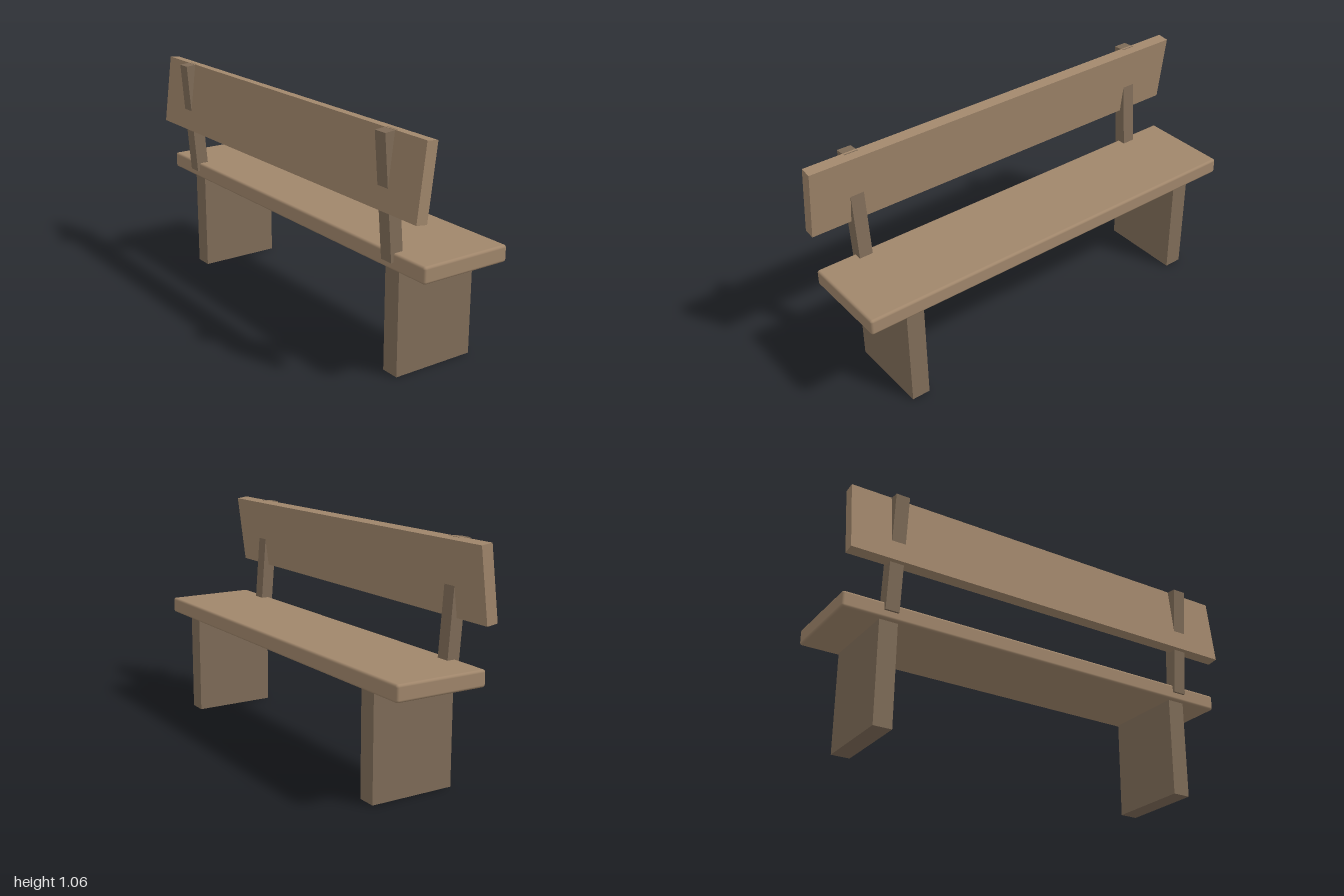
import * as THREE from 'three';
import { RoundedBoxGeometry } from 'three/addons/geometries/RoundedBoxGeometry.js';

export function createModel() {
  const bench = new THREE.Group();
  bench.name = 'bench';
  const plankWood = new THREE.MeshStandardMaterial({ color: 0xa0866b });
  const frameWood = new THREE.MeshStandardMaterial({ color: 0x7f6c58 });

  function add(name, geometry, material, x, y, z, tilt = 0) {
    const mesh = new THREE.Mesh(geometry, material);
    mesh.name = name;
    mesh.position.set(x, y, z);
    mesh.rotation.x = tilt;
    bench.add(mesh);
  }

  // Seat plank with softened edges
  add('seat', new RoundedBoxGeometry(2, 0.075, 0.44, 3, 0.012), plankWood, 0, 0.5125, -0.025);

  // Backrest plank, its top leaning to -z
  add('backrest', new THREE.BoxGeometry(2, 0.33, 0.054), plankWood, 0, 0.8915, 0.1965, -0.128);

  // Slab legs and back posts, mirrored left and right
  const legGeometry = new THREE.BoxGeometry(0.087, 0.48, 0.4);
  const postGeometry = new THREE.BoxGeometry(0.065, 0.545, 0.061);
  for (const [side, s] of [['left', 1], ['right', -1]]) {
    add(side + 'Leg', legGeometry, frameWood, s * 0.778, 0.24, -0.026);
    add(side + 'BackPost', postGeometry, frameWood, s * 0.778, 0.784, 0.198, 0.08);
  }

  return bench;
}
